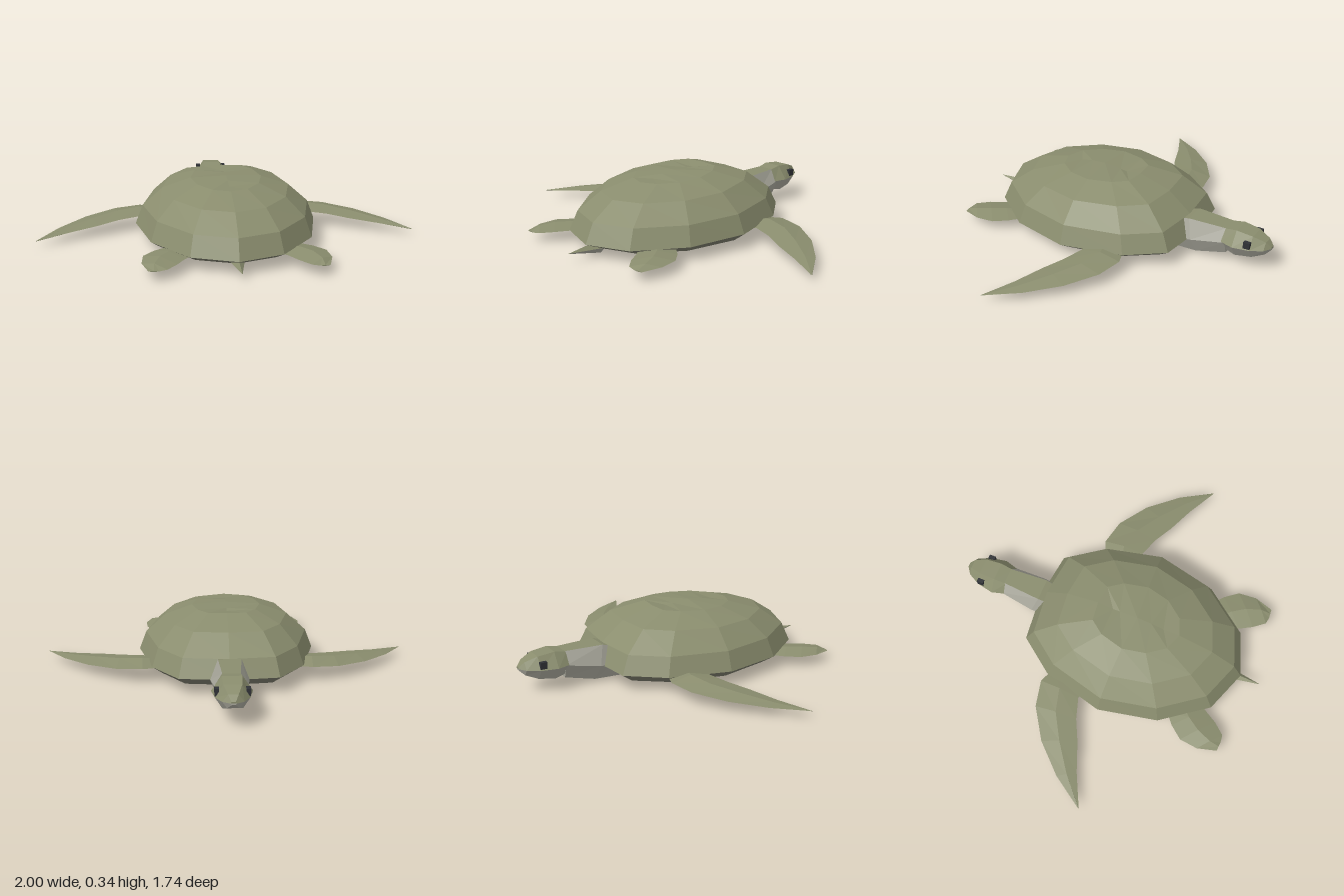
import * as THREE from 'three';

const paint = (color) => new THREE.MeshStandardMaterial({ color, flatShading: true, roughness: 0.9 });
const olive = paint(0x8a8d6e);
const skin = paint(0xa9a89c);
const belly = paint(0x7c7c6c);
const dark = paint(0x303236);

// Joins closed rings of [x, y, z] points; ends may be closed with fans.
// pick(column) chooses the material of each lengthwise column of faces.
function loft(name, rings, { caps = [true, true], materials = [olive], pick = () => 0 } = {}) {
  const n = rings[0].length;
  const V = rings.map((r) => r.map((p) => new THREE.Vector3(...p)));
  const mean = (r) => r.reduce((s, p) => s.add(p), new THREE.Vector3()).divideScalar(r.length);
  const tris = materials.map(() => []);
  for (let j = 0; j < n; j++) {
    const k = (j + 1) % n, out = tris[pick(j)];
    for (let i = 0; i + 1 < V.length; i++) {
      out.push([V[i][j], V[i][k], V[i + 1][k]], [V[i][j], V[i + 1][k], V[i + 1][j]]);
    }
    if (caps[0]) out.push([mean(V[0]), V[0][k], V[0][j]]);
    const last = V[V.length - 1];
    if (caps[1]) out.push([mean(last), last[j], last[k]]);
  }
  // Turn the faces outward and drop collapsed ones
  const c = mean(V.flat()), e = new THREE.Vector3(), f = new THREE.Vector3(), g = new THREE.Vector3();
  let volume = 0;
  tris.flat().forEach(([p, q, r]) => {
    volume += e.subVectors(p, c).dot(f.subVectors(q, c).cross(g.subVectors(r, c)));
  });
  const geo = new THREE.BufferGeometry(), pos = [];
  tris.forEach((list, m) => {
    const start = pos.length / 3;
    for (const [p, q, r] of list) {
      if (f.subVectors(q, p).cross(g.subVectors(r, p)).length() < 1e-8) continue;
      for (const v of volume > 0 ? [p, q, r] : [p, r, q]) pos.push(v.x, v.y, v.z);
    }
    geo.addGroup(start, pos.length / 3 - start, m);
  });
  geo.setAttribute('position', new THREE.Float32BufferAttribute(pos, 3));
  geo.computeVertexNormals();
  const mesh = new THREE.Mesh(geo, materials.length > 1 ? materials : materials[0]);
  mesh.name = name;
  return mesh;
}

// Shell rim, half of it from head end to tail end
const rim = [[0, -0.44], [0.26, -0.41], [0.40, -0.22], [0.48, 0.11], [0.41, 0.43], [0.23, 0.67], [0, 0.755]];
const mirrorHalf = (half) => [...half, ...half.slice(1, -1).reverse().map(([x, y, z]) => [-x, y, z])];
const midZ = 0.14;
const shellRing = (scale, y, tilt = 0) => mirrorHalf(rim.map(([x, z]) =>
  [x * scale, y - tilt * (z - midZ), midZ + (z - midZ) * scale]));

function buildShell() {
  const shell = new THREE.Group();
  shell.name = 'shell';
  // The uppermost ring folds into a shallow, notched spine
  const spine = [[0.33, 0], [0.33, 0], [0.335, 0.04], [0.342, 0.14], [0.335, 0.22], [0.322, 0.29], [0.322, 0.29]];
  shell.add(loft('carapace', [
    shellRing(1, 0.085, 0.015),
    shellRing(0.92, 0.185, 0.01),
    shellRing(0.7, 0.28, 0.02),
    shellRing(0.39, 0.332, 0.018),
    mirrorHalf(spine.map(([y, z]) => [0, y, z])),
  ], { caps: [false, false] }));
  shell.add(loft('plastron', [
    shellRing(1, 0.085, 0.015),
    shellRing(0.87, 0.04),
    shellRing(0.62, 0.02),
  ], { caps: [false, true], materials: [belly] }));
  return shell;
}

// Six-sided section from [x, y, z] at the side, top edge and bottom edge
const section = (side, top, bottom) => {
  const flip = ([x, y, z]) => [-x, y, z];
  return [side, top, flip(top), flip(side), flip(bottom), bottom];
};

function buildHead() {
  const head = new THREE.Group();
  head.name = 'headAndNeck';
  head.add(loft('neck', [
    section([0.09, 0.09, -0.38], [0.055, 0.185, -0.37], [0.06, 0.005, -0.2]),
    section([0.1, 0.1, -0.45], [0.06, 0.2, -0.42], [0.065, 0.02, -0.47]),
    section([0.082, 0.135, -0.64], [0.045, 0.2, -0.63], [0.05, 0.058, -0.635]),
  ], { materials: [skin, olive], pick: (j) => (j === 1 ? 1 : 0) }));
  // z, half width, side height, top half width, top, bottom half width, bottom
  const slices = [
    [-0.62, 0.082, 0.135, 0.045, 0.198, 0.045, 0.08],
    [-0.69, 0.102, 0.135, 0.05, 0.21, 0.06, 0.068],
    [-0.78, 0.085, 0.135, 0.045, 0.2, 0.05, 0.08],
    [-0.845, 0.052, 0.138, 0.025, 0.175, 0.03, 0.106],
    [-0.872, 0.015, 0.14, 0.01, 0.147, 0.01, 0.132],
  ];
  head.add(loft('head', slices.map(([z, w, m, t, top, b, bottom]) =>
    section([w, m, z], [t, top, z], [b, bottom, z])),
  { materials: [skin, olive], pick: (j) => (j < 3 ? 1 : 0) }));
  for (const s of [1, -1]) {
    const eye = new THREE.Mesh(new THREE.BoxGeometry(0.022, 0.036, 0.036), dark);
    eye.name = s > 0 ? 'leftEye' : 'rightEye';
    eye.position.set(s * 0.076, 0.16, -0.764);
    head.add(eye);
  }
  return head;
}

// Flat limb; stations are [leadX, leadZ, trailX, trailZ, y, thickness]
function flipper(name, side, stations) {
  return loft(name, stations.map(([ax, az, bx, bz, y, t]) => {
    const mx = side * (ax * 0.5 + bx * 0.5), mz = az * 0.5 + bz * 0.5;
    return [[side * ax, y, az], [mx, y + t / 2, mz], [side * bx, y, bz], [mx, y - t / 2, mz]];
  }));
}

const foreStations = [
  [0.36, -0.2, 0.38, 0, 0.08, 0.04],
  [0.45, -0.235, 0.46, -0.01, 0.085, 0.045],
  [0.59, -0.205, 0.57, 0.025, 0.078, 0.04],
  [0.75, -0.1, 0.68, 0.08, 0.066, 0.032],
  [0.89, 0.05, 0.83, 0.14, 0.052, 0.018],
  [1, 0.222, 0.998, 0.224, 0.038, 0.003],
];
const hindStations = [
  [0.34, 0.46, 0.2, 0.58, 0.062, 0.03],
  [0.4, 0.51, 0.255, 0.65, 0.063, 0.04],
  [0.455, 0.58, 0.295, 0.72, 0.063, 0.042],
  [0.465, 0.68, 0.345, 0.78, 0.06, 0.032],
  [0.435, 0.782, 0.385, 0.786, 0.055, 0.006],
];

export function createModel() {
  const turtle = new THREE.Group();
  turtle.name = 'turtle';
  turtle.add(buildShell(), buildHead());
  for (const side of [1, -1]) {
    const label = side > 0 ? 'One' : 'Two';
    turtle.add(flipper('foreFlipper' + label, side, foreStations));
    turtle.add(flipper('hindFlipper' + label, side, hindStations));
  }
  // Tapering tail
  turtle.add(loft('tail', [
    [[0.036, 0.045, 0.66], [0, 0.08, 0.66], [-0.036, 0.045, 0.66], [0, 0.01, 0.66]],
    [[0.001, 0.057, 0.865], [0, 0.058, 0.865], [-0.001, 0.057, 0.865], [0, 0.056, 0.865]],
  ], { materials: [olive, skin], pick: (j) => (j < 2 ? 0 : 1) }));
  return turtle;
}
